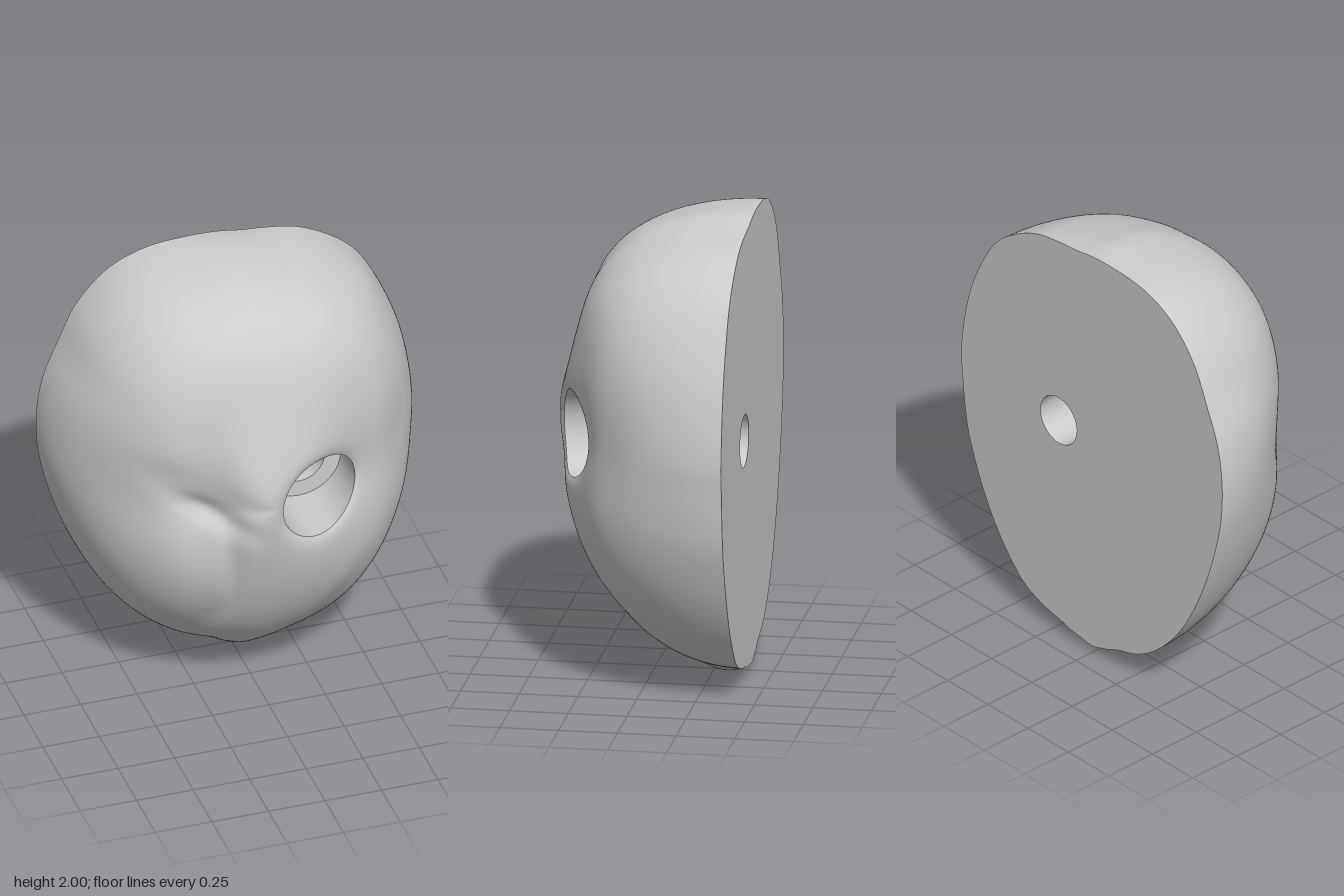
import * as THREE from 'three';

const N = 240, ROWS = 90, BACK = -0.41, MID_Y = 1.1, TAU = Math.PI * 2;
const HOLE = new THREE.Vector2(0.205, 1.065);
const BORE_R = 0.113, SOCKET_R = 0.185, SOCKET_Z = 0.03;
const { lerp, clamp } = THREE.MathUtils;

// Outline of the head, clockwise from the crown
const OUTLINE = [
  [0, 2.003], [0.1, 1.985], [0.2, 1.965], [0.35, 1.93], [0.5, 1.85], [0.6, 1.76], [0.69, 1.61],
  [0.755, 1.45], [0.795, 1.27], [0.81, 1.12], [0.802, 1.0], [0.787, 0.86], [0.765, 0.74],
  [0.71, 0.58], [0.64, 0.43], [0.54, 0.275], [0.42, 0.15], [0.3, 0.095], [0.19, 0.065],
  [0.1, 0.02], [0, -0.022], [-0.08, 0.02], [-0.16, 0.08], [-0.3, 0.135], [-0.42, 0.22],
  [-0.55, 0.37], [-0.66, 0.57], [-0.75, 0.81], [-0.805, 1.05], [-0.81, 1.25],
  [-0.78, 1.42], [-0.715, 1.58], [-0.635, 1.75], [-0.5, 1.895], [-0.35, 1.965], [-0.15, 1.993],
];

// Soft furrows: start, end, width, depth
const FURROWS = [
  [-0.4, 1.13, -0.14, 0.98, 0.05, 0.04],    // closed eye
  [-0.55, 1.28, -0.35, 1.18, 0.08, 0.015],  // outer brow
  [-0.2, 1.05, -0.16, 0.5, 0.05, 0.03],     // side of the nose
  [-0.17, 0.6, -0.27, 0.35, 0.07, 0.012],   // cheek fold
  [0.25, 0.25, 0.45, 0.58, 0.07, 0.02],     // opposite cheek fold
  [0.62, 0.6, 0.64, 1.6, 0.07, 0.012],      // temple
  [0.02, 1.7, 0.0, 2.0, 0.07, 0.012],       // crown
  [-0.06, 1.3, -0.06, 0.85, 0.09, -0.014],  // bridge of the nose
];

const curve = new THREE.CatmullRomCurve3(
  OUTLINE.map(([x, y]) => new THREE.Vector3(x, y, 0)), true);
const rim = curve.getSpacedPoints(N).slice(0, N);
const angleOf = (x, y) => (Math.atan2(x, y - MID_Y) + TAU) % TAU;
const rimAngles = rim.map(p => angleOf(p.x, p.y));
const rimRadii = rim.map(p => Math.hypot(p.x, p.y - MID_Y));

// The same radii without the small bumps, for the inner part of the face
const softRadii = rimRadii.map((_, i) => {
  let sum = 0;
  for (let k = -14; k <= 14; k++) sum += rimRadii[(i + k + N) % N];
  return sum / 29;
});

// Distance from the middle: 0 at the centre, 1 on the outline
function outlineRatio(x, y, a) {
  let k = rimAngles.findIndex(v => v > a);
  if (k < 0) k = N;
  const i = Math.max(k - 1, 0), j = (i + 1) % N;
  const t = (a - rimAngles[i]) / ((j ? rimAngles[j] : TAU) - rimAngles[i]);
  const d = Math.hypot(x, y - MID_Y);
  const sharp = lerp(rimRadii[i], rimRadii[j], t);
  const soft = lerp(softRadii[i], softRadii[j], t);
  return d / lerp(soft, sharp, Math.min(1, d / sharp) ** 7);
}

const bell = (v, centre, width) => Math.exp(-(((v - centre) / width) ** 2));

function furrow(x, y, [x0, y0, x1, y1, width, depth]) {
  const dx = x1 - x0, dy = y1 - y0, length = Math.hypot(dx, dy);
  const along = ((x - x0) * dx + (y - y0) * dy) / length;
  const across = ((x - x0) * dy - (y - y0) * dx) / length;
  return depth * bell(along, length / 2, length / 2) * bell(across, 0, width);
}

// Front surface: a dome, fuller at the forehead and jaw, with the face pressed into it
function surfaceZ(x, y) {
  const a = angleOf(x, y), c = Math.cos(a), s = Math.sin(a);
  const r = outlineRatio(x, y, a);
  const upright = c > 0 ? 1.8 + 2.4 * r * r : 2;
  const diagonal = (c > 0 ? 0.3 : 0.6) * 4 * s * s * c * c;
  const power = upright * c * c + (1.7 + 0.15 * s) * s * s + diagonal;
  const h = Math.sqrt(Math.max(0, 1 - r ** power));
  let dent = 0.065 * bell(x, 0.38, 0.2) * bell(y, 1.05, 0.5)     // eye with the hole
    + 0.045 * bell(x, -0.29, 0.12) * bell(y, 1.1, 0.5)           // closed eye
    + 0.012 * bell(y, 1.5, 0.2)                                  // forehead
    + 0.02 * Math.exp(-Math.max(0, Math.hypot(x - HOLE.x, y - HOLE.y) - SOCKET_R) / 0.025);
  for (const f of FURROWS) dent += furrow(x, y, f);
  const ripple = 0.004 * Math.sin(13 * x + 2) * Math.sin(7 * y);
  return BACK + h * (0.81 - dent + ripple);
}

// Chin and crown curl slightly inward towards the back
function curl([x, y, z]) {
  const u = clamp((-0.25 - z) / 0.16, 0, 1) ** 2;
  const lift = y < MID_Y ? 0.057 * bell(x, 0, 0.12) : -0.02 * bell(x, 0.03, 0.15);
  const edge = clamp(Math.abs(y - MID_Y) - 0.6, 0, 0.2) / 0.2;
  return [x, y + u * lift * edge, z];
}

// Skin between successive closed rings of [x, y, z]
function loft(name, rings, material) {
  const index = [];
  for (let i = 0; i < rings.length - 1; i++) {
    for (let j = 0; j < N; j++) {
      const a = i * N + j, b = i * N + (j + 1) % N, c = a + N, d = b + N;
      index.push(a, b, c, b, d, c);
    }
  }
  const geometry = new THREE.BufferGeometry();
  geometry.setAttribute('position', new THREE.Float32BufferAttribute(rings.flat(2), 3));
  geometry.setIndex(index);
  geometry.computeVertexNormals();
  const mesh = new THREE.Mesh(geometry, material);
  mesh.name = name;
  return mesh;
}

export function createModel() {
  const group = new THREE.Group();
  group.name = 'halfHead';
  const material = new THREE.MeshStandardMaterial({ color: 0xcccccc });

  // Rings around the eye hole
  const dirs = rim.map(p => new THREE.Vector2(p.x, p.y).sub(HOLE).normalize());
  const circle = (r, z) => dirs.map(d => [HOLE.x + d.x * r, HOLE.y + d.y * r, z]);
  const socketEdge = circle(SOCKET_R, 0).map(([x, y]) => [x, y, surfaceZ(x, y)]);

  // Face: rings spread from the socket edge to the outline, closer together at the outline
  const face = [];
  for (let i = 0; i <= ROWS; i++) {
    const s = Math.sin((i / ROWS) * Math.PI / 2);
    face.push(rim.map((p, j) => {
      const x = lerp(socketEdge[j][0], p.x, s);
      const y = lerp(socketEdge[j][1], p.y, s);
      return curl([x, y, i === ROWS ? BACK : surfaceZ(x, y)]);
    }));
  }

  group.add(
    loft('face', face, material),
    loft('socketWall', [circle(SOCKET_R, SOCKET_Z), socketEdge], material),
    loft('socketFloor', [circle(BORE_R, SOCKET_Z), circle(SOCKET_R, SOCKET_Z)], material),
    loft('bore', [circle(BORE_R, BACK), circle(BORE_R, SOCKET_Z)], material),
    loft('flatBack', [face[ROWS], circle(BORE_R, BACK)], material),
  );
  return group;
}
